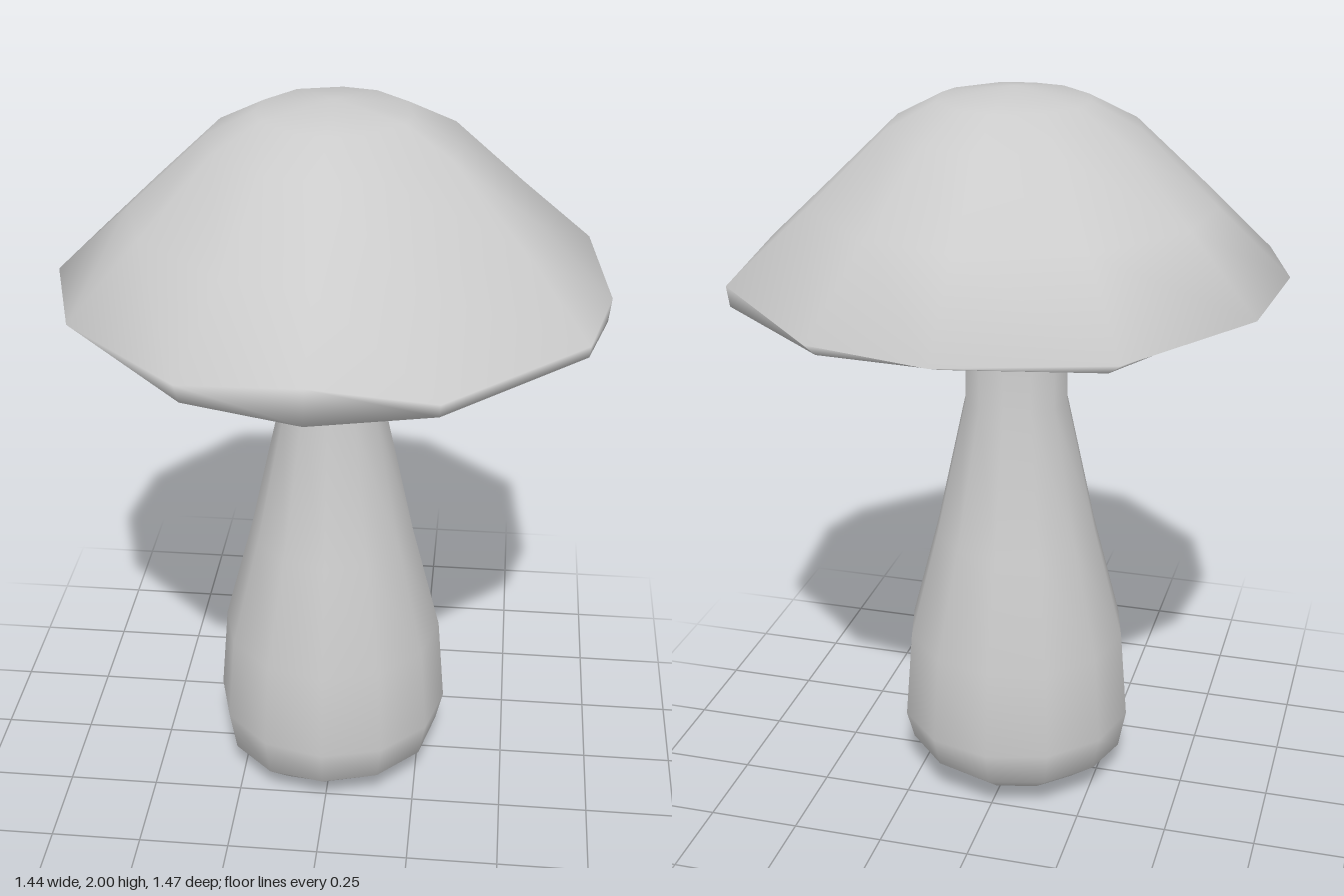
import * as THREE from 'three';

// Skin a stack of rings (arrays of [x, y, z]); a one-point ring closes an end.
function loft(name, rings) {
  const positions = rings.flat(2);
  const index = [];
  let base = 0;
  for (let r = 0; r < rings.length - 1; r++) {
    const na = rings[r].length, nb = rings[r + 1].length, n = Math.max(na, nb);
    for (let i = 0; i < n; i++) {
      const j = (i + 1) % n;
      const a = base + (i % na), b = base + (j % na);
      const c = base + na + (i % nb), d = base + na + (j % nb);
      if (nb > 1) index.push(a, c, d);
      if (na > 1) index.push(a, nb > 1 ? d : c, b);
    }
    base += na;
  }
  const geometry = new THREE.BufferGeometry();
  geometry.setAttribute('position', new THREE.Float32BufferAttribute(positions, 3));
  geometry.setIndex(index);
  geometry.computeVertexNormals();
  const material = new THREE.MeshStandardMaterial({ color: 0xcccccc, side: THREE.DoubleSide });
  const mesh = new THREE.Mesh(geometry, material);
  mesh.name = name;
  return mesh;
}

// Uneven rim of the cap: x, z, height of the edge, inset of the lip below it
const RIM = [
  [0.717, 0.09, 1.53, 0.99], [0.66, 0.305, 1.495, 0.995], [0.31, 0.66, 1.5, 0.99],
  [0.0, 0.71, 1.55, 1.03], [-0.31, 0.66, 1.52, 0.97], [-0.63, 0.36, 1.52, 0.89],
  [-0.72, 0.05, 1.535, 0.8], [-0.68, -0.27, 1.52, 0.83], [-0.42, -0.63, 1.51, 0.9],
  [0.01, -0.735, 1.5, 0.88], [0.34, -0.66, 1.5, 0.95], [0.67, -0.35, 1.52, 0.99],
];

function createCap() {
  // Rings grow rounder towards the middle
  const ring = (radius, y) => RIM.map(([x, z]) => {
    const k = radius / (0.5 * Math.hypot(x, z) + 0.36);
    return [x * k, y, z * k];
  });
  const lip = (scale, y) => RIM.map(([x, z, , inset]) => [x * inset * scale, y, z * inset * scale]);
  return loft('cap', [
    // hollow underside
    [[0, 1.71, 0]], ring(0.19, 1.69), ring(0.4, 1.61), lip(0.88, 1.485),
    // lip and edge
    lip(1, 1.465), RIM.map(([x, z, y]) => [x, y, z]),
    // dome
    ring(0.53, 1.71), ring(0.33, 1.9), ring(0.2, 1.968), [[0, 2, 0]],
  ]);
}

function createStem() {
  const sides = 12;
  const ring = (radius, y, lump = 0) => Array.from({ length: sides }, (_, i) => {
    const a = (i / sides) * Math.PI * 2;
    // the foot sags towards the front right corner and is a little lumpy
    const sag = lump * (Math.cos(a - 2.4) + 0.35 * Math.sin(3 * a));
    return [radius * Math.cos(a) - 0.005, y - sag, radius * Math.sin(a) + 0.005];
  });
  return loft('stem', [
    [[-0.11, 0, 0.01]], ring(0.22, 0.03, 0.02), ring(0.307, 0.1, 0.015),
    ring(0.328, 0.2), ring(0.308, 0.45), ring(0.228, 0.76),
    ring(0.143, 1.15), ring(0.14, 1.47), ring(0.14, 1.65), ring(0.17, 1.695),
  ]);
}

export function createModel() {
  const group = new THREE.Group();
  group.name = 'mushroom';
  group.add(createCap(), createStem());
  return group;
}
